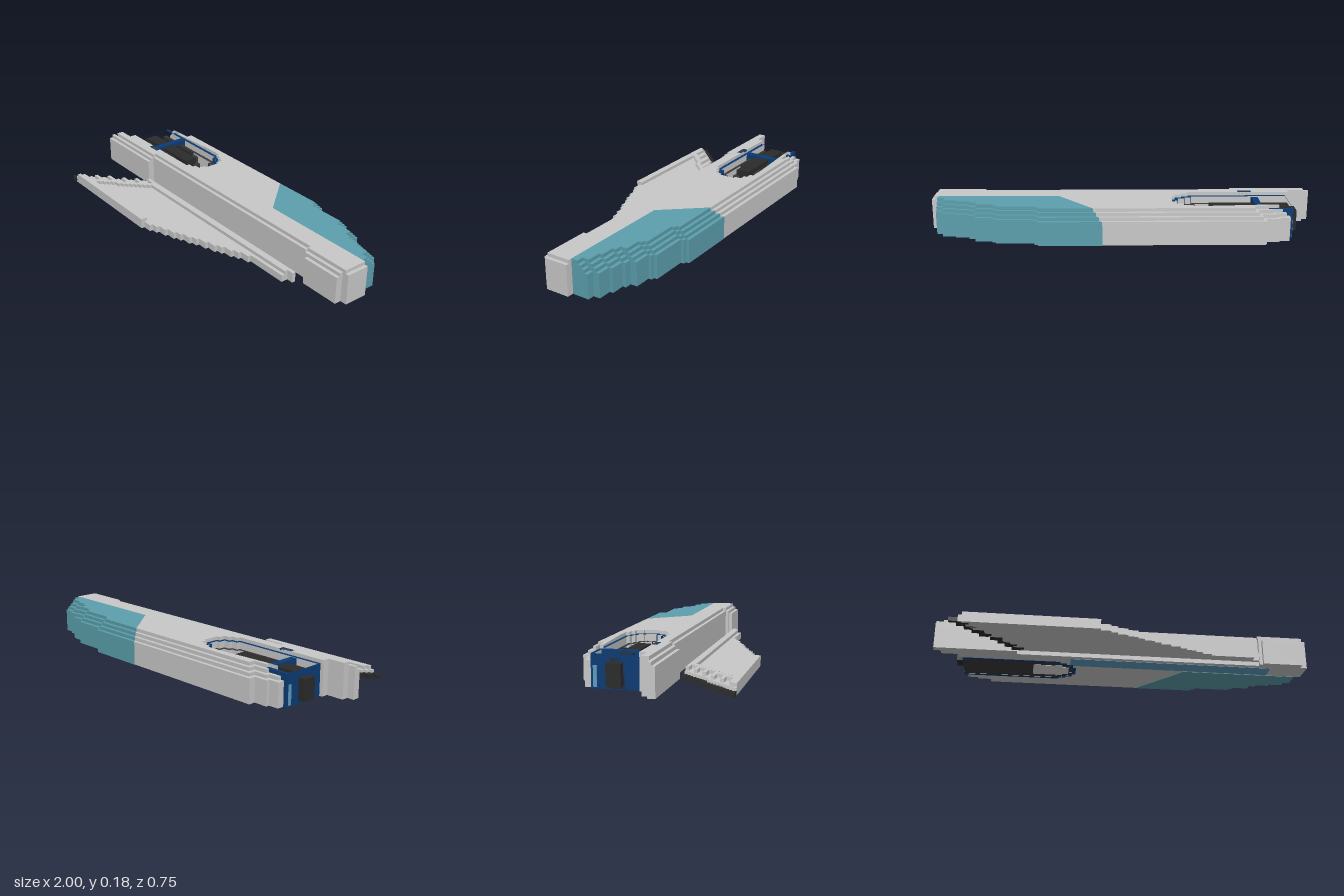
import * as THREE from 'three';

const U = 2 / 112; // one block; all part sizes below are in blocks

const paint = (name, color) => {
  const m = new THREE.MeshStandardMaterial({ color });
  m.name = name;
  return m;
};

export function createModel() {
  const hullGrey = paint('hull grey', 0xc8c8c8);
  const paleGrey = paint('pale grey', 0xdedede);
  const teal = paint('teal', 0x5b9fac);
  const navy = paint('navy', 0x0b3b73);
  const skyBlue = paint('sky blue', 0x5f9cc0);
  const charcoal = paint('charcoal', 0x3a3a3a);
  const black = paint('black', 0x2b2b2b);

  const model = new THREE.Group();
  model.name = 'blockShip';
  const group = (name) => {
    const g = new THREE.Group();
    g.name = name;
    model.add(g);
    return g;
  };
  const box = (parent, name, mat, x0, x1, y0, y1, z0, z1) => {
    const m = new THREE.Mesh(new THREE.BoxGeometry(x1 - x0, y1 - y0, z1 - z0), mat);
    m.position.set((x0 + x1) / 2, (y0 + y1) / 2, (z0 + z1) / 2);
    m.name = name;
    parent.add(m);
  };
  // Upright slab from a floor plan of [x, z] corners
  const slab = (parent, name, mat, plan, y0, y1, hole) => {
    const toPoints = (p) => p.map(([x, z]) => new THREE.Vector2(x, -z));
    const shape = new THREE.Shape(toPoints(plan));
    if (hole) shape.holes.push(new THREE.Path(toPoints(hole)));
    const geo = new THREE.ExtrudeGeometry(shape, { depth: y1 - y0, bevelEnabled: false });
    geo.rotateX(-Math.PI / 2).translate(0, y0, 0);
    const m = new THREE.Mesh(geo, mat);
    m.name = name;
    parent.add(m);
  };

  // Hull in four layers, each stepped in from the one below
  const hull = group('hull');
  const bayEnd = [[-19, -16], [-19, -15], [-17, -15], [-17, -14], [-15, -14], [-15, -12], [-14, -12],
    [-14, -7], [-15, -7], [-15, -5], [-17, -5], [-17, -4], [-19, -4], [-19, -3]];
  const seam = (z) => 6 + (z + 21) * 13 / 15;
  const layers = [[0.1, 7, 0, 3, 1, 56], [7, 8, 1, 3, 1, 56], [8, 9, 2, 2, 1, 56], [9, 10, 3, 1, 0, 55]];
  for (const [y0, y1, k, front, mid, nose] of layers) {
    const back = -21 + k;
    slab(hull, 'hullLayer', hullGrey, [
      [seam(back), back], [-40 + k, back], [-40 + k, -19 + k], [-44 + k, -19 + k], [-44 + k, -18 + k],
      [-47 + k, -18 + k], [-47 + k, -16], ...bayEnd, [-49, -3], [-49, -1], [-54, -1], [-54, 1],
      ...(front > 1 ? [[-56, 1], [-56, front]] : []), [-32, front], [-32, mid], [41, mid],
      ...(front > 1 ? [[41, 2], [42, 2], [42, front], [54, front], [54, 1]] : [[41, 1]]),
      [nose, 1], [nose, -6], [seam(-6), -6],
    ], y0, y1);
    // Teal quarter with its stepped outer edge
    slab(hull, 'tealQuarter', teal, [
      [seam(back), back], [seam(-6), -6], [54, -6],
      ...[[54, -11], [52, -11], [52, -13], [48, -13], [48, -14], [44, -14], [44, -15], [42, -15], [42, -17],
        [37, -17], [37, -18], [36, -18], [36, -19], [25, -19], [25, -20], [24, -20], [24, -21]]
        .map(([x, z]) => [x, z + k]),
    ], y0 > 1 ? y0 : 0, y1);
  }
  box(hull, 'bellyStripe', skyBlue, -16, 45, 0, 0.3, -5.5, -0.5);

  // Engine bay with a navy lining
  const bay = group('engineBay');
  const bayPlan = [[-48, -16], ...bayEnd, [-48, -3]];
  const inset = (d) => bayPlan.map(([x, z]) => [x < -40 ? x + 0.1 * d : x - d, z + (z < -9.5 ? d : -d)]);
  slab(bay, 'bayLining', navy, bayPlan, 0, 9, inset(1));
  slab(bay, 'bayInnerRing', charcoal, inset(1), 0.2, 7, inset(2));
  slab(bay, 'bayFloor', charcoal, inset(1), 0.1, 2);
  box(bay, 'paleFloor', paleGrey, -27, -18, 0, 4, -13, -6);
  box(bay, 'paleFloorEnd', paleGrey, -18, -16.2, 0, 4, -12, -7);
  box(bay, 'crossBar', navy, -40, -38, 0.3, 8.5, -16, -3);
  box(bay, 'sideLatch', navy, -38, -34, 9, 10.04, -3, -1.6);
  box(bay, 'latchPlate', charcoal, -37, -35, 10, 10.08, -2.8, -1.8);
  box(bay, 'lightStrip', skyBlue, -48.2, -47.6, 0.5, 6, -15.4, -14.4);

  // Engine
  const engine = group('engine');
  box(engine, 'engineBody', charcoal, -38, -28, 1, 6.5, -14, -5);
  box(engine, 'engineRearBody', charcoal, -47, -40, 0.2, 6.5, -14, -5);
  box(engine, 'engineSpine', black, -48, -25, 0.2, 8, -11, -7);
  box(engine, 'engineNozzle', black, -50, -43, 1, 7, -11.5, -7.5);
  for (const side of [-1, 1]) {
    const z = -9.5 + side * 3.5;
    box(engine, 'sidePipe', black, -46, -30, 6, 7.5, z - 0.7, z + 0.7);
    box(engine, 'frontClaw', charcoal, -28, -24, 1, 6, -9 + side * 2 - 1, -9 + side * 2 + 1);
  }

  // Separate wing, one row of blocks at a time
  const wing = group('wing');
  for (let z = 4; z < 21; z++) {
    const left = -31 - Math.round((z - 4) * 17 / 16);
    const right = z === 4 ? 40 : z < 7 ? 38 : Math.round(25 - (z - 7) * 2.6);
    const ridge = -24 - Math.round((z - 4) * 1.05);
    box(wing, 'wingRow', hullGrey, left, right, 0, 2, z, z + 1);
    if (z < 6) box(wing, 'innerRim', hullGrey, ridge, right, 2, 3, z, z + 1);
    if (z > 18) box(wing, 'outerRim', hullGrey, left + 1, -9, 2, 3, z, z + 1);
    else box(wing, 'diagonalRidge', hullGrey, ridge - 2, ridge, 2, 3, z, z + 1);
    if (z % 3 === 1) box(wing, 'rib', hullGrey, left + 1, ridge - 2, 2, 3, z, z + 1);
    if (z % 2 === 0) box(wing, 'thrusterTip', black, left - 2.5, left + 1, 0, 1.2, z, Math.min(z + 2, 21));
  }

  model.scale.setScalar(U);
  return model;
}
